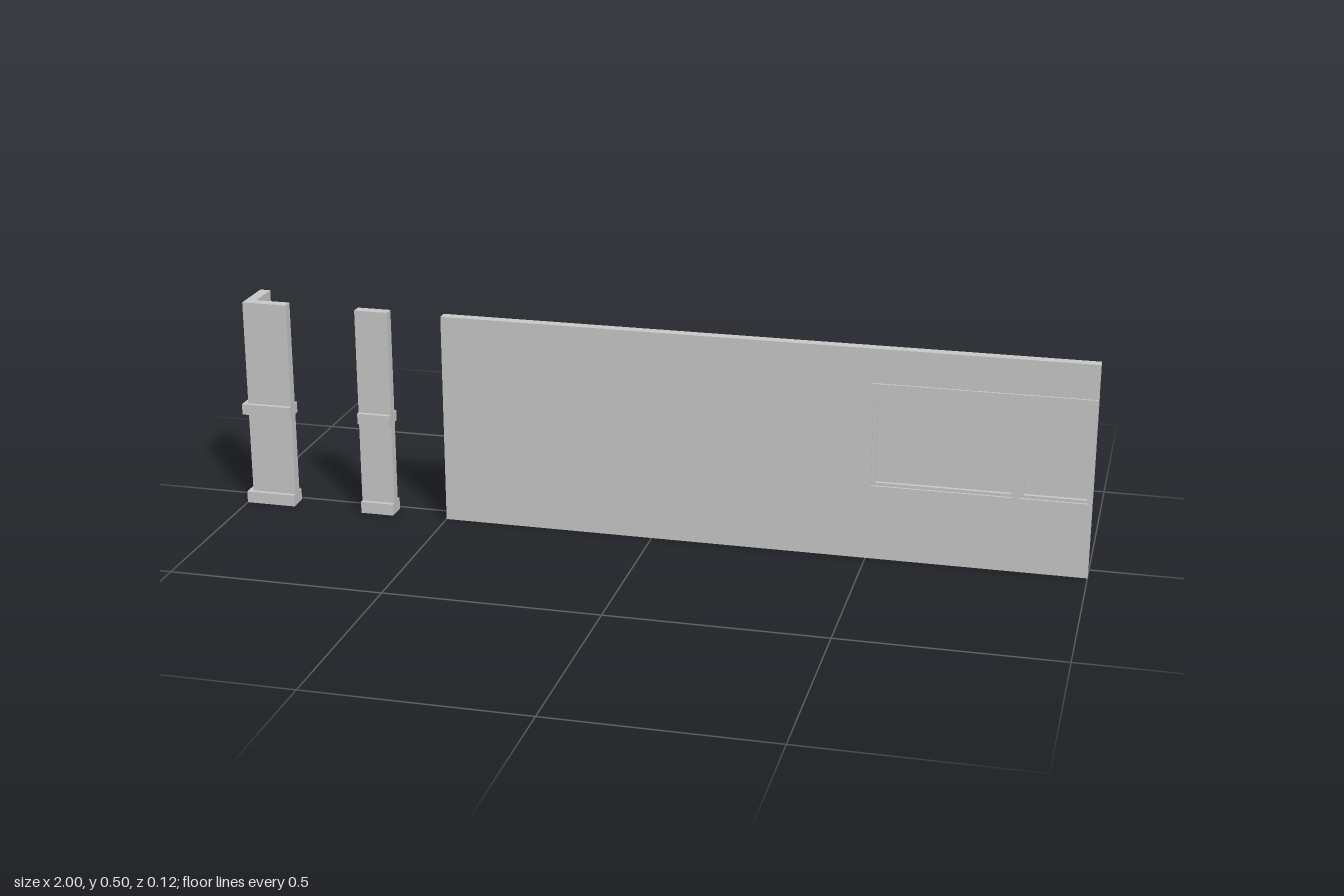
import * as THREE from 'three';

const grey = new THREE.MeshStandardMaterial({ color: 0xcccccc, flatShading: true });

// Box given by its limits along each axis
function box(name, x0, x1, y0, y1, z0, z1) {
  const mesh = new THREE.Mesh(new THREE.BoxGeometry(x1 - x0, y1 - y0, z1 - z0), grey);
  mesh.position.set((x0 + x1) / 2, (y0 + y1) / 2, (z0 + z1) / 2);
  mesh.name = name;
  return mesh;
}

function outline(points) {
  return new THREE.Shape(points.map(([x, y]) => new THREE.Vector2(x, y)));
}

// Outline in x,y pushed from z0 to z1
function slab(name, shape, z0, z1) {
  const geo = new THREE.ExtrudeGeometry(shape, { depth: z1 - z0, bevelEnabled: false });
  const mesh = new THREE.Mesh(geo, grey);
  mesh.position.z = z0;
  mesh.name = name;
  return mesh;
}

// Rectangular ring with side, top and bottom members
function ring(name, x0, x1, y0, y1, left, right, rail, z0, z1) {
  const shape = outline([[x0, y0], [x1, y0], [x1, y1], [x0, y1]]);
  shape.holes.push(outline([
    [x0 + left, y0 + rail], [x0 + left, y1 - rail],
    [x1 - right, y1 - rail], [x1 - right, y0 + rail],
  ]));
  return slab(name, shape, z0, z1);
}

// Floor-plan outline [x, z] raised from y0 to y1
function prism(name, plan, y0, y1) {
  const shape = outline(plan.map(([x, z]) => [x, -z]));
  const geo = new THREE.ExtrudeGeometry(shape, { depth: y1 - y0, bevelEnabled: false });
  geo.rotateX(-Math.PI / 2);
  const mesh = new THREE.Mesh(geo, grey);
  mesh.position.y = y0;
  mesh.name = name;
  return mesh;
}

// L-shaped plan with its outer corner at (x, z)
function cornerPlan(x, z, thick) {
  return [[x, z], [-0.88, z], [-0.88, z - thick], [x + thick, z - thick],
    [x + thick, -0.06], [x, -0.06]];
}

// One framed window with a slightly proud upper sash
function windowUnit(name, x0, x1, y0, y1) {
  const unit = new THREE.Group();
  unit.name = name;
  const e = 0.008, r = 0.017;
  unit.add(ring('outerFrame', x0, x1, y0, y1, e, e, e, 0.02, 0.055));
  unit.add(ring('innerFrame', x0 + e, x1 - e, y0 + e, y1 - e, 0.009, 0.004, 0.007, 0.025, 0.05));
  const mid = 0.305;
  unit.add(box('lowerPane', x0 + r, x1 - 0.012, y0 + 0.015, mid, 0.034, 0.041));
  unit.add(box('upperPane', x0 + r, x1 - 0.012, mid, y1 - 0.015, 0.032, 0.043));
  return unit;
}

export function createModel() {
  const model = new THREE.Group();

  // Wall panel, notched at its end for the windows
  const [y0, y1] = [0.17, 0.42];
  model.add(slab('wall', outline([
    [-0.5, 0], [1, 0], [1, y0], [0.503, y0], [0.503, y1], [1, y1], [1, 0.5], [-0.5, 0.5],
  ]), 0.025, 0.05));

  // Wide and narrow window side by side
  model.add(windowUnit('wideWindow', 0.5, 0.833, y0, y1));
  model.add(windowUnit('narrowWindow', 0.833, 1, y0, y1));

  // Straight pilaster and L-shaped corner pilaster, each with base and band
  const pilaster = new THREE.Group();
  pilaster.name = 'pilaster';
  const corner = new THREE.Group();
  corner.name = 'cornerPilaster';
  pilaster.add(box('shaft', -0.71, -0.63, 0, 0.5, 0.025, 0.05));
  corner.add(prism('shaft', cornerPlan(-0.988, 0.05, 0.025), 0, 0.5));
  for (const [name, low, high] of [['base', 0, 0.028], ['band', 0.224, 0.25]]) {
    pilaster.add(box(name, -0.71, -0.63, low, high, 0.012, 0.06));
    corner.add(prism(name, cornerPlan(-1, 0.06, 0.048), low, high));
  }
  model.add(pilaster, corner);
  return model;
}
